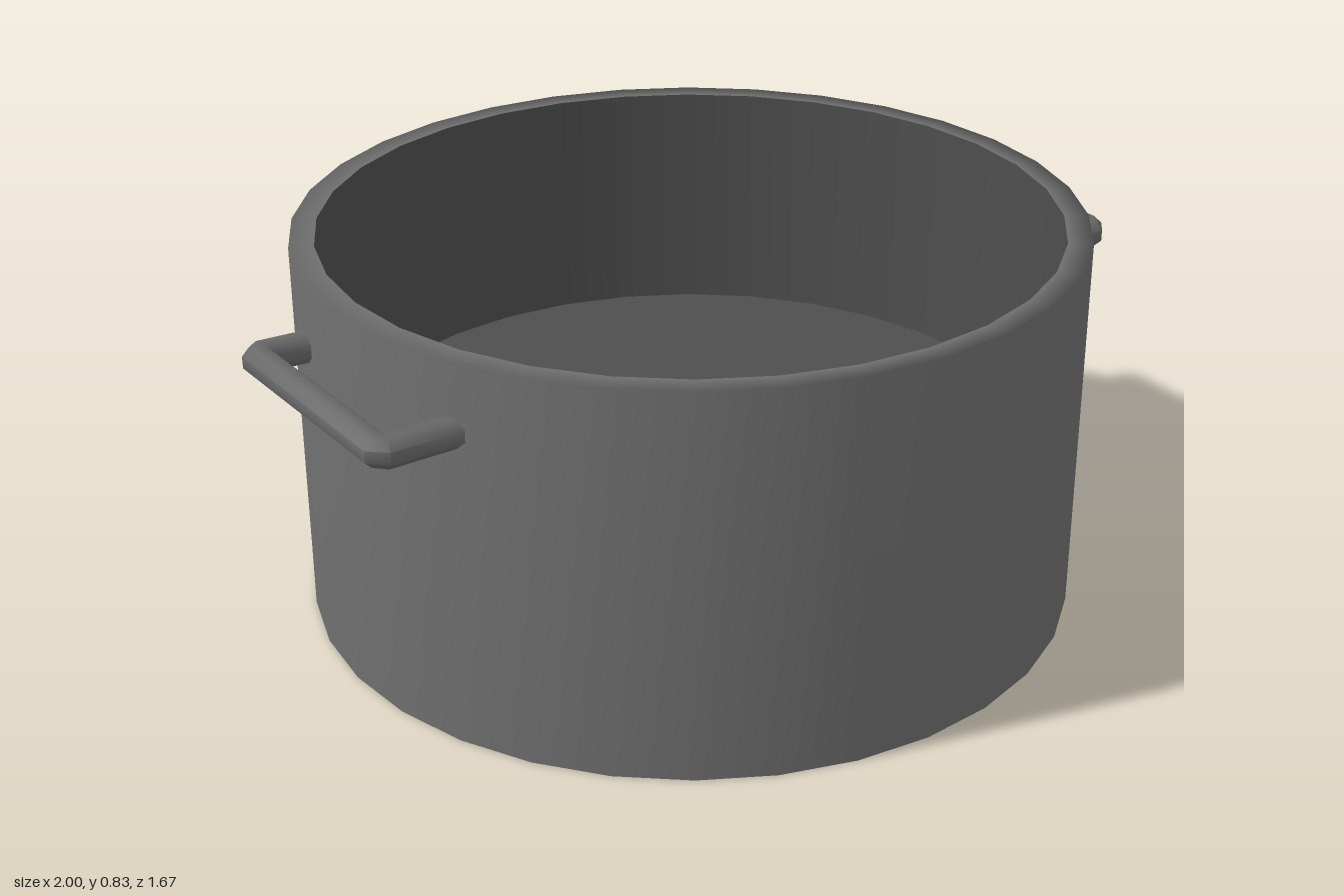
import * as THREE from 'three';
import { toCreasedNormals } from 'three/addons/utils/BufferGeometryUtils.js';

const V = (x, y, z) => new THREE.Vector3(x, y, z);
const UP = V(0, 1, 0);

// Cuts each inner corner of a path into two points, for a small chamfer.
function chamferPath(points, cut) {
  return points.flatMap((p, i) => {
    if (i === 0 || i === points.length - 1) return [p];
    return [points[i - 1], points[i + 1]].map((q) =>
      p.clone().add(q.clone().sub(p).setLength(cut)));
  });
}

// Sweeps an octagonal rod along a roughly level path with mitred joints.
function rodGeometry(path, radius, sides = 8) {
  const position = [];
  const index = [];
  const last = path.length - 1;
  path.forEach((p, i) => {
    const before = p.clone().sub(path[Math.max(i - 1, 0)]).normalize();
    const after = path[Math.min(i + 1, last)].clone().sub(p).normalize();
    const tangent = before.clone().add(after).normalize();
    const side = tangent.clone().cross(UP).normalize();
    const miter = 1 / tangent.dot(i === last ? before : after);
    for (let k = 0; k < sides; k++) {
      const a = ((k + 0.5) / sides) * Math.PI * 2;
      const v = p.clone()
        .addScaledVector(side, Math.cos(a) * radius * miter)
        .addScaledVector(UP, Math.sin(a) * radius);
      position.push(v.x, v.y, v.z);
      if (i < last) {
        const n = i * sides;
        const next = n + ((k + 1) % sides);
        index.push(n + k, n + k + sides, next, next, n + k + sides, next + sides);
      }
    }
  });
  // End caps
  const end = last * sides;
  for (let k = 1; k < sides - 1; k++) {
    index.push(0, k, k + 1, end, end + k + 1, end + k);
  }
  const geometry = new THREE.BufferGeometry();
  geometry.setAttribute('position', new THREE.Float32BufferAttribute(position, 3));
  geometry.setIndex(index);
  return toCreasedNormals(geometry, 0.9);
}

// Turns a profile of [radius, height] points; normals run smoothly along it.
const turned = (profile) =>
  new THREE.LatheGeometry(profile.map(([x, y]) => new THREE.Vector2(x, y)), 32);

export function createModel() {
  const model = new THREE.Group();
  const shellMaterial = new THREE.MeshStandardMaterial({ color: 0x6f6f6f });
  const handleMaterial = new THREE.MeshStandardMaterial({ color: 0x696969 });
  const darkMaterial = new THREE.MeshStandardMaterial({ color: 0x4e4e4e });
  const add = (name, geometry, material) => {
    const mesh = new THREE.Mesh(geometry, material);
    mesh.name = name;
    model.add(mesh);
  };

  // Pot: outer wall softly shaded into the rim, then the darker faces
  const outer = 0.834, inner = 0.782, top = 0.835, floor = 0.315;
  add('outerWallAndRim', turned([[outer, 0], [outer, top], [inner, top]]), shellMaterial);
  add('innerWall', turned([[inner, top], [inner, floor]]), darkMaterial);
  add('innerFloor', turned([[inner, floor], [0, floor]]), darkMaterial);
  add('underside', turned([[0, 0], [outer, 0]]), darkMaterial);

  // Two bracket handles, each set slightly askew
  const handles = {
    leftHandle: [V(0.8, 0.66, -0.095), V(0.97, 0.66, -0.085), V(0.88, 0.662, 0.405), V(0.725, 0.662, 0.395)],
    rightHandle: [V(-0.75, 0.685, -0.32), V(-0.885, 0.698, -0.33), V(-0.972, 0.7, 0.165), V(-0.8, 0.687, 0.175)],
  };
  for (const [name, points] of Object.entries(handles)) {
    add(name, rodGeometry(chamferPath(points, 0.016), 0.033), handleMaterial);
  }
  return model;
}
